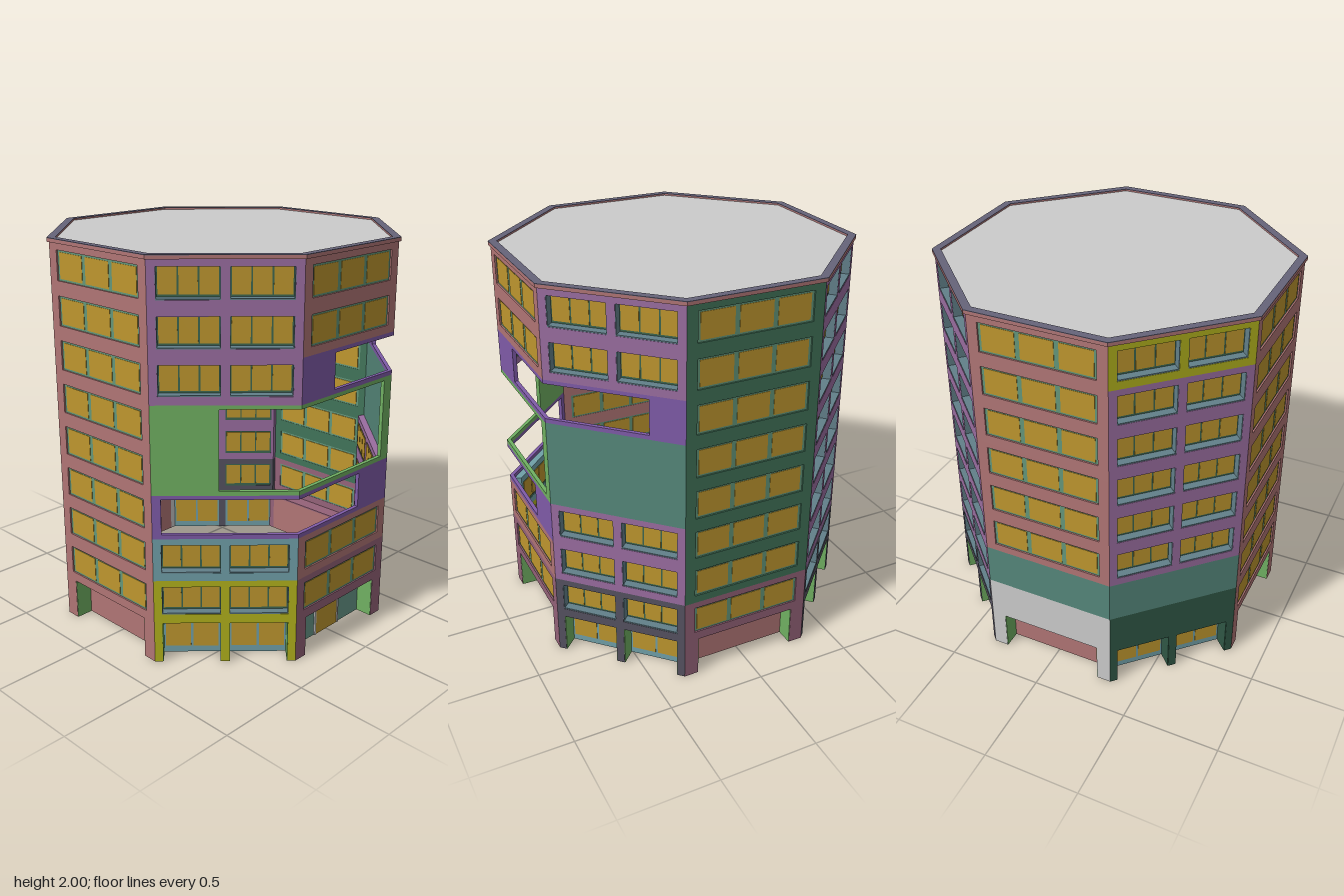
import * as THREE from 'three';
import { mergeGeometries } from 'three/addons/utils/BufferGeometryUtils.js';

const AP = 0.83, H = AP * Math.tan(Math.PI / 8), F = 0.22; // apothem, half face width, storey height
const C = {
  pink: 0xb07575, mauve: 0x9a6da0, green: 0x407258, purple: 0x7f5ba8, lime: 0x70b062,
  teal: 0x55877a, yellow: 0xb0b01c, slate: 0x70a0a8, plum: 0x946278, coal: 0x555260,
  pine: 0x305846, grey: 0xcccccc, gold: 0xbe962e, frame: 0x63967a, darkFrame: 0x3c6650,
  reveal: 0x62808a, panelTeal: 0x68988a, rim: 0x66647a, light: 0xcfd0cc,
};
const mats = {};
const mat = (c) => (mats[c] ??= new THREE.MeshStandardMaterial({ color: C[c], side: THREE.DoubleSide }));

// Block on a face: u along the face, y up, d0..d1 depth inward; ends at the corners are mitred
function slab(u0, u1, y0, y1, d0, d1) {
  const t = Math.tan(Math.PI / 8);
  const at = (u, d) => (Math.abs(Math.abs(u) - H) < 1e-4 ? u - Math.sign(u) * d * t : u);
  const s = new THREE.Shape([[u0, d0], [u1, d0], [u1, d1], [u0, d1]].map(([u, d]) => new THREE.Vector2(at(u, d), d)));
  const g = new THREE.ExtrudeGeometry(s, { depth: y1 - y0, bevelEnabled: false });
  g.rotateX(-Math.PI / 2); // shape y becomes -z, extrusion becomes +y
  g.translate(0, y0, AP);
  return g;
}

function add(parent, name, color, geos) {
  const m = new THREE.Mesh(mergeGeometries(geos), mat(color));
  m.name = name;
  parent.add(m);
}

// Wall pieces around holes that share one height range
function wall(y0, y1, depth, holes = [], h0 = y0, h1 = y1) {
  if (!holes.length) return [slab(-H, H, y0, y1, 0, depth)];
  const out = [];
  if (h0 > y0) out.push(slab(-H, H, y0, h0, 0, depth));
  if (h1 < y1) out.push(slab(-H, H, h1, y1, 0, depth));
  let u = -H;
  for (const [a, b] of [...holes, [H, H]]) {
    if (a - u > 1e-4) out.push(slab(u, a, h0, h1, 0, depth));
    u = b;
  }
  return out;
}

const BAYS = [[-0.305, -0.02], [0.02, 0.305]];

// Row of glass panes in a range
function panes(u0, u1, y0, y1, n, gap, d0, d1) {
  const w = (u1 - u0 - gap * (n + 1)) / n;
  return Array.from({ length: n }, (_, i) => {
    const a = u0 + gap + i * (w + gap);
    return slab(a, a + w, y0, y1, d0, d1);
  });
}

// Storey with windows: flush triple window on straight faces, two deep bays on diagonal ones
function windowStorey(g, diagonal, y, color) {
  const h0 = y + 0.04, h1 = y + 0.187;
  if (!diagonal) {
    add(g, 'wall', color, wall(y, y + F, 0.02, [[-0.29, 0.29]], h0, h1));
    add(g, 'windowFrame', 'frame', [slab(-0.29, 0.29, h0, h1, 0.008, 0.018)]);
    add(g, 'windowPanes', 'gold', panes(-0.3, 0.3, h0 + 0.01, h1 - 0.01, 3, 0.024, 0.006, 0.022));
    return;
  }
  const frames = [], glass = [], reveals = [];
  for (const [a, b] of BAYS) {
    frames.push(slab(a, b, h0, h1, 0.044, 0.053));
    glass.push(...panes(a, b, h0 + 0.016, h1 - 0.008, 3, 0.008, 0.042, 0.057));
    reveals.push(slab(a, b, h0, h0 + 0.006, 0.002, 0.044));
    reveals.push(slab(a, a + 0.003, h0, h1, 0.002, 0.044), slab(b - 0.003, b, h0, h1, 0.002, 0.044));
  }
  add(g, 'wall', color, wall(y, y + F, 0.055, BAYS, h0, h1));
  add(g, 'windowFrames', 'darkFrame', frames);
  add(g, 'windowPanes', 'gold', glass);
  add(g, 'windowReveals', 'reveal', reveals);
}

// Ground storey: pillars in front of a set-back panel or glazing
function groundStorey(g, diagonal, k, color) {
  const top = 0.212, holes = diagonal ? BAYS : [[-0.27, 0.27]];
  add(g, 'pillars', color, [...wall(0, top, 0.1, holes), slab(-H, H, top, F, 0, 0.1)]);
  add(g, 'pillarReveals', k === 5 ? 'pine' : 'lime', holes.flatMap(([a, b]) => [
    slab(a, a + 0.003, 0, top, 0.002, 0.09), slab(b - 0.003, b, 0, top, 0.002, 0.09)]));
  if (diagonal) {
    add(g, 'groundWindowFrames', 'slate', BAYS.map(([a, b]) => slab(a, b, 0, top, 0.09, 0.098)));
    add(g, 'groundWindowPanes', 'gold', BAYS.flatMap(([a, b]) => panes(a, b, 0.035, 0.187, 2, 0.012, 0.087, 0.101)));
  } else {
    add(g, 'groundPanel', k === 0 ? 'panelTeal' : 'pink', [slab(-0.27, 0.27, 0, top, 0.09, 0.1)]);
  }
  if (k === 0) {
    add(g, 'doorFrame', 'light', [slab(-0.095, -0.085, 0, 0.195, 0.082, 0.104),
      slab(0.085, 0.095, 0, 0.195, 0.082, 0.104), slab(-0.095, 0.095, 0.187, 0.197, 0.082, 0.104)]);
    add(g, 'door', 'gold', [slab(-0.085, 0.085, 0, 0.187, 0.086, 0.103)]);
  }
}

// Main wall colour per face, going round from the front towards +x
const MAIN = ['pink', 'mauve', 'green', 'mauve', 'pink', 'mauve', 'pink', 'mauve'];
const BASE = ['plum', 'coal', 'plum', 'coal', 'grey', 'pine', 'pink', 'yellow'];
// Blank walls: face, storeys
const SOLID = { 1: { 4: 'teal', 5: 'teal' }, 4: { 1: 'grey', 2: 'teal' }, 5: { 1: 'pine', 2: 'teal' } };
// Open terraces wrapping a corner: face -> [storey, storeys tall, u0, u1, colour]
const OPEN = {
  0: [[3, 1, -H, 0.11, 'purple'], [4, 2, -H, 0.285, 'lime'], [6, 1, -0.11, H, 'purple']],
  1: [[6, 1, -H, 0.17, 'purple']],
  7: [[3, 1, -0.3, H, 'purple'], [4, 2, -0.03, H, 'lime']],
};
const SPECIAL = { 5: { 8: 'yellow' }, 7: { 2: 'slate' } };

function octagon(ap) {
  const r = ap / Math.cos(Math.PI / 8);
  return Array.from({ length: 8 }, (_, i) => {
    const a = (i + 0.5) * Math.PI / 4;
    return new THREE.Vector2(r * Math.cos(a), r * Math.sin(a));
  });
}

function roofLayer(parent, name, color, outer, inner, y0, y1) {
  const s = new THREE.Shape(octagon(outer));
  if (inner) s.holes.push(new THREE.Path(octagon(inner)));
  const g = new THREE.ExtrudeGeometry(s, { depth: y1 - y0, bevelEnabled: false });
  g.rotateX(-Math.PI / 2);
  g.translate(0, y0, 0);
  add(parent, name, color, [g]);
}

export function createModel() {
  const model = new THREE.Group();
  model.name = 'octagonalTower';
  for (let k = 0; k < 8; k++) {
    const face = new THREE.Group();
    face.name = 'facade' + k;
    face.rotation.y = k * Math.PI / 4;
    const diagonal = k % 2 === 1;
    groundStorey(face, diagonal, k, BASE[k]);
    for (let f = 1; f < 9; f++) {
      const y = f * F;
      const open = (OPEN[k] || []).find(([s, n]) => f >= s && f < s + n);
      if (open) {
        const [s, n, a, b, color] = open, top = (s + n) * F;
        if (f === s) add(face, 'terraceOpening', color, wall(y, top, 0.02, [[a, b]], y + 0.022, top - 0.02));
      } else if (SOLID[k]?.[f]) {
        add(face, 'blankWall', SOLID[k][f], wall(y, y + F, 0.02));
      } else {
        windowStorey(face, diagonal, y, SPECIAL[k]?.[f] ?? (f === 1 ? BASE[k] : MAIN[k]));
      }
    }
    model.add(face);
  }
  // Roof with a raised rim
  roofLayer(model, 'roofDeck', 'grey', 0.81, 0, 1.975, 1.99);
  roofLayer(model, 'roofEdge', 'pink', 0.84, 0.8, 1.98, 1.997);
  roofLayer(model, 'roofRim', 'rim', 0.84, 0.8, 1.997, 2);
  return model;
}
